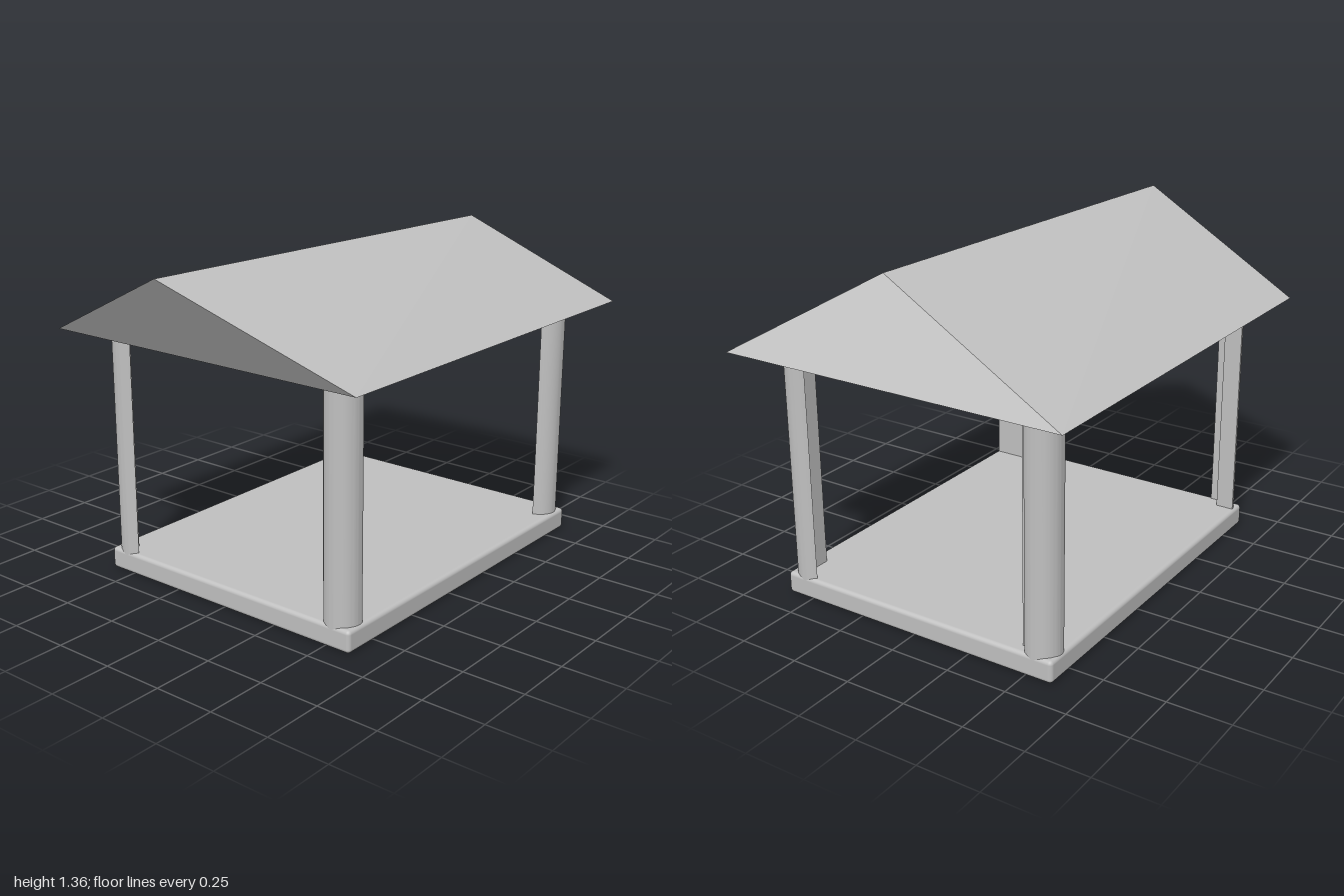
import * as THREE from 'three';
import { toCreasedNormals } from 'three/addons/utils/BufferGeometryUtils.js';
import { RoundedBoxGeometry } from 'three/addons/geometries/RoundedBoxGeometry.js';

const RADIUS = 0.075;
const FLOOR_TOP = 0.09;
const POST_TOP = 1.01;

// Notched round post. The arc runs counter-clockwise from the first to the second point,
// then the cut corners close the outline. u points outward in x, v outward in z.
function makePost(name, material, x, z, [from, to], cuts) {
  const sx = Math.sign(x), sz = Math.sign(z);
  const a0 = Math.atan2(from[1], from[0]);
  let a1 = Math.atan2(to[1], to[0]);
  if (a1 < a0) a1 += Math.PI * 2;
  const outline = [];
  const steps = 28;
  for (let i = 0; i <= steps; i++) {
    const a = a0 + (a1 - a0) * i / steps;
    outline.push([Math.cos(a) * RADIUS, Math.sin(a) * RADIUS]);
  }
  outline.push(...cuts);
  const shape = new THREE.Shape(outline.map(([u, v]) => new THREE.Vector2(u * sx, -v * sz)));
  const bottom = FLOOR_TOP - 0.02;
  const extruded = new THREE.ExtrudeGeometry(shape, { depth: POST_TOP - bottom, bevelEnabled: false });
  extruded.rotateX(-Math.PI / 2);
  const post = new THREE.Mesh(toCreasedNormals(extruded, 0.5), material);
  post.name = name;
  post.position.set(x, bottom, z);
  return post;
}

// Skewed roof: rectangular eaves with a slanting ridge that overhangs one end
function makeRoof(material) {
  const a = [-0.77, 1.015, 0.73], b = [1, 1.015, 0.73];
  const c = [1, 1.015, -0.73], d = [-0.77, 1.015, -0.73];
  const r0 = [-1, 1.355, 0.05], r1 = [0.77, 1.35, 0.16];
  const faces = [
    a, b, r1, a, r1, r0, // front slope
    c, d, r0, c, r0, r1, // back slope
    b, c, r1,            // hip end
    d, a, r0,            // overhanging end
    a, d, c, a, c, b,    // underside
  ];
  const geometry = new THREE.BufferGeometry();
  geometry.setAttribute('position', new THREE.Float32BufferAttribute(faces.flat(), 3));
  geometry.computeVertexNormals();
  const roof = new THREE.Mesh(geometry, material);
  roof.name = 'roof';
  return roof;
}

export function createModel() {
  const group = new THREE.Group();
  group.name = 'pavilion';
  const grey = new THREE.MeshStandardMaterial({ color: 0xc0c0c0 });
  grey.name = 'light grey';

  // Floor slab
  const floor = new THREE.Mesh(new RoundedBoxGeometry(1.535, 0.09, 1.23, 3, 0.016), grey);
  floor.name = 'floor';
  floor.position.set(0.1125, FLOOR_TOP / 2, 0);
  group.add(floor);

  // Posts, each with its own notch
  const halfArc = [[0.063, -0.04], [-0.02, 0.072]];
  const halfCuts = [[-0.02, -0.072], [0.005, -0.075], [0.03, -0.069], [0.03, -0.04]];
  group.add(
    makePost('frontLeftPost', grey, 0.805, 0.53, [[0.056, -0.05], [-0.0735, 0.015]], [[0.056, 0.015]]),
    makePost('backRightPost', grey, -0.58, -0.53, [[0.055, -0.051], [0.005, 0.075]], [[0.005, 0], [0.055, 0]]),
    makePost('frontRightPost', grey, -0.58, 0.53, halfArc, halfCuts),
    makePost('backLeftPost', grey, 0.805, -0.535, halfArc, halfCuts),
  );

  group.add(makeRoof(grey));
  return group;
}
